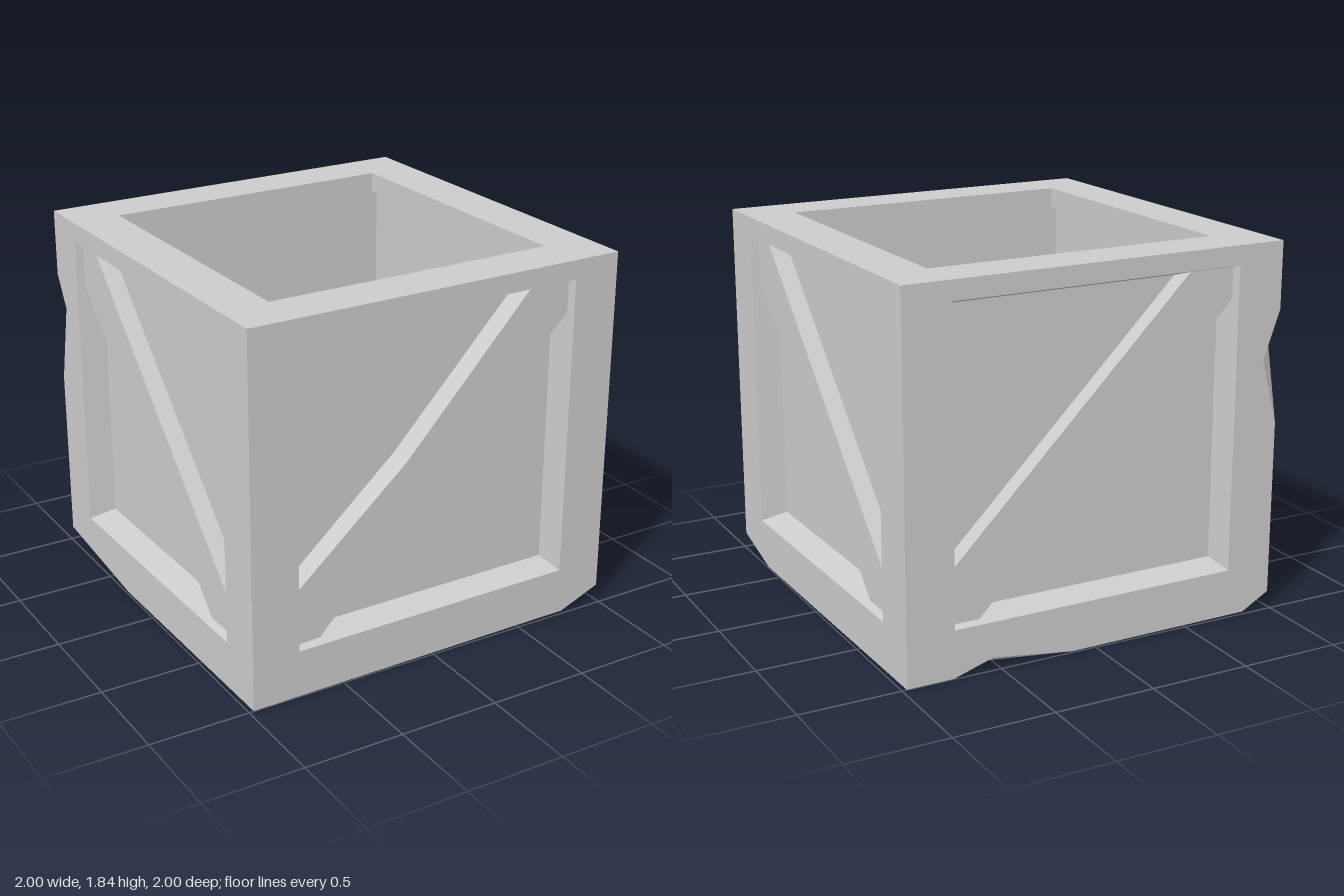
import * as THREE from 'three';

const H = 0.987, TOP = 1.84, HOLE = 0.745, INNER = 0.715, RECESS = 0.13, BRACE = 0.04;
const v3 = (x, y, z) => new THREE.Vector3(x, y, z);
const rect = (w, lo, hi) => [[-w, lo], [w, lo], [w, hi], [-w, hi]];

// A face frame: outward normal n, in-plane axes u and v, distance d from the origin
const face = (n, u, v, d) => ({ d, at: ([a, b], depth = 0) =>
  v3(0, 0, 0).addScaledVector(n, d - depth).addScaledVector(u, a).addScaledVector(v, b) });
const side = (n) => face(n, v3(0, 1, 0).cross(n), v3(0, 1, 0), H);

// Flat polygon, with optional hole
function cap(out, f, loop, depth = 0, hole = null) {
  const toV2 = (l) => l.map(([a, b]) => new THREE.Vector2(a, b));
  const pts = hole ? [...loop, ...hole] : loop;
  for (const t of THREE.ShapeUtils.triangulateShape(toV2(loop), hole ? [toV2(hole)] : []))
    out.push(...t.map((i) => f.at(pts[i], depth)));
}

// Band of quads between two matching loops
function band(out, f, a, da, b, db) {
  a.forEach((p, i) => {
    const j = (i + 1) % a.length;
    const [a0, a1, b0, b1] = [f.at(p, da), f.at(a[j], da), f.at(b[i], db), f.at(b[j], db)];
    out.push(a0, a1, b1, a0, b1, b0);
  });
}

const material = new THREE.MeshStandardMaterial({
  color: 0xcccccc, flatShading: true, side: THREE.DoubleSide });

function toMesh(name, points) {
  const geometry = new THREE.BufferGeometry().setFromPoints(points);
  geometry.computeVertexNormals();
  const mesh = new THREE.Mesh(geometry, material);
  mesh.name = name;
  return mesh;
}

export function createModel() {
  const group = new THREE.Group();
  group.name = 'crate';
  const crate = new THREE.Group();
  crate.name = 'crateBody';
  crate.rotation.y = 0.0115;
  group.add(crate);

  const X = v3(1, 0, 0), Z = v3(0, 0, 1);
  const front = side(Z), right = side(X);
  const back = side(v3(0, 0, -1)), left = side(v3(-1, 0, 0));
  const top = face(v3(0, 1, 0), X, v3(0, 0, -1), TOP);
  const bottom = face(v3(0, -1, 0), X, Z, 0);

  // Brace outlines: rising, falling, and the bent one on the front
  const rising = [[-0.735, 0.245], [-0.6, 0.245], [0.735, 1.58], [0.735, 1.735],
    [0.5, 1.735], [-0.735, 0.51]];
  const falling = [[-0.74, 1.735], [-0.74, 1.51], [0.525, 0.245], [0.74, 0.245],
    [0.74, 0.375], [-0.61, 1.735]];
  const bent = [[-0.735, 0.245], [-0.61, 0.25], [0.06, 0.96], [0.735, 1.57],
    [0.735, 1.735], [0.52, 1.735], [-0.15, 1.02], [-0.735, 0.515]];
  const bentBase = [[-0.715, 0.27], [-0.51, 0.27], [0.1, 0.92], [0.715, 1.47],
    [0.715, 1.705], [0.47, 1.705], [-0.16, 1.04], [-0.715, 0.55]];
  const floorBrace = [[-0.735, -0.735], [-0.57, -0.735], [0.735, 0.57], [0.735, 0.735],
    [0.57, 0.735], [-0.735, -0.57]];

  // Face outlines include the chipped corners and edges
  const sideHole = rect(HOLE, 0.235, 1.745), sideInner = rect(INNER, 0.27, 1.705);
  const walls = [
    { name: 'front', f: front, brace: bent, base: bentBase,
      outline: [[-H, 0], [0.77, 0], [H, 0.085], [H, TOP], [-H, TOP]] },
    { name: 'right', f: right, brace: falling,
      outline: [[-H, 0.085], [-0.67, 0], [H, 0], [H, TOP], [-H, TOP]] },
    { name: 'back', f: back, brace: rising,
      outline: [[-H, 0], [-0.75, 0], [-0.55, 0.06], [-0.13, 0], [0.84, 0], [H, 0.08],
        [H, 0.95], [0.9, 1.27], [H, 1.51], [H, TOP], [-H, TOP]] },
    { name: 'left', f: left, brace: falling,
      outline: [[-H, 0.08], [-0.31, 0], [H, 0], [H, TOP], [-H, TOP],
        [-H, 1.51], [-0.9, 1.35], [-H, 0.95]] },
    { name: 'bottom', f: bottom, brace: floorBrace,
      hole: rect(HOLE, -HOLE, HOLE), inner: rect(INNER, -INNER, INNER),
      outline: [[-0.84, -H], [0.13, -H], [0.55, -0.88], [0.75, -H], [H, -H], [H, 0.67],
        [0.77, H], [-H, H], [-H, -0.31]] },
  ];

  // Frame, recessed panel and diagonal brace of every wall
  for (const { name, f, outline, brace, base = brace, hole = sideHole, inner = sideInner } of walls) {
    const frame = [], panel = [], bar = [];
    cap(frame, f, outline, 0, hole);
    band(frame, f, hole, 0, inner, RECESS);
    cap(panel, f, inner, RECESS);
    cap(bar, f, brace, BRACE);
    band(bar, f, base, RECESS, brace, BRACE);
    crate.add(toMesh(name + 'Frame', frame), toMesh(name + 'Panel', panel), toMesh(name + 'Brace', bar));
  }

  // Open top: rim, lip and hollow interior
  const rim = [], interior = [];
  const mouth = rect(HOLE, -HOLE, HOLE), cavity = rect(0.83, -0.83, 0.83);
  cap(rim, top, rect(H, -H, H), 0, mouth);
  band(rim, top, mouth, 0, mouth, 0.1);
  band(rim, top, mouth, 0.1, cavity, 0.1);
  band(interior, top, cavity, 0.1, cavity, TOP - 0.16);
  cap(interior, top, cavity, TOP - 0.16);
  crate.add(toMesh('topRim', rim), toMesh('interior', interior));

  // Broken surfaces of the chips
  const chips = [
    // front right lower corner
    v3(0.77, 0, H), v3(H, 0, 0.67), v3(H, 0.085, H),
    // back left lower corner
    v3(-0.84, 0, -H), v3(-H, 0, -0.31), v3(-H, 0.08, -H),
    // back lower edge
    v3(0.75, 0, -H), v3(0.55, 0, -0.88), v3(0.55, 0.06, -H),
    v3(0.13, 0, -H), v3(0.55, 0.06, -H), v3(0.55, 0, -0.88),
    // back left upright edge
    v3(-H, 1.51, -H), v3(-0.9, 1.27, -H), v3(-H, 1.35, -0.9),
    v3(-H, 0.95, -H), v3(-H, 1.35, -0.9), v3(-0.9, 1.27, -H),
  ];
  crate.add(toMesh('chips', chips));
  return group;
}
